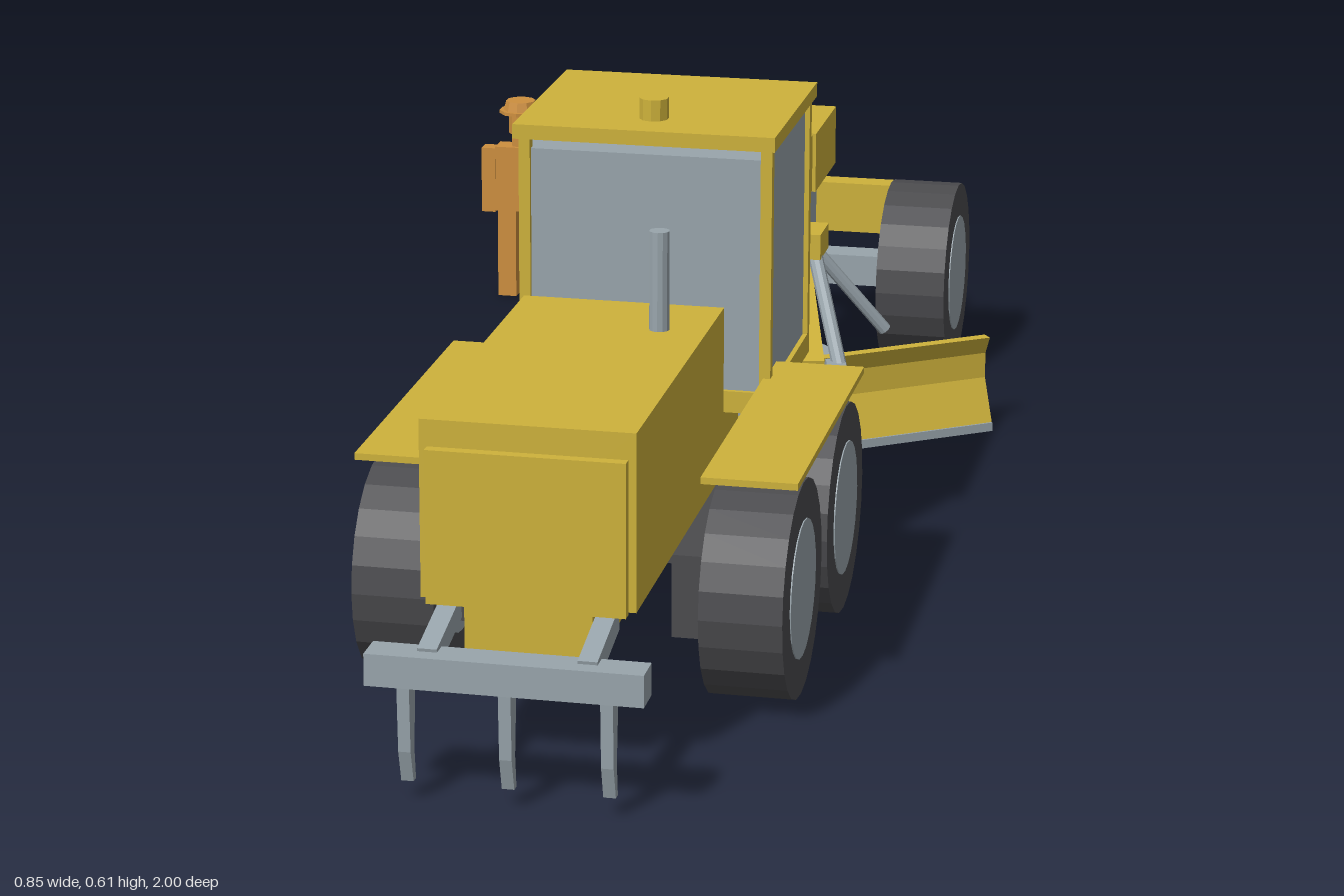
import * as THREE from 'three';

const mat = (name, color) => {
  const m = new THREE.MeshStandardMaterial({ color });
  m.name = name;
  return m;
};

export function createModel() {
  const yellow = mat('yellow paint', 0xceb23b);
  const steel = mat('grey steel', 0x99a5ac);
  const rubber = mat('dark rubber', 0x4b4b4e);
  const orange = mat('orange workwear', 0xcd8f3f);
  for (const m of [yellow, steel, rubber, orange]) m.flatShading = true;

  const CX = 0.083; // centre line of the machine
  const model = new THREE.Group();
  model.name = 'roadGrader';

  const add = (name, geo, material, parent = model) => {
    const mesh = new THREE.Mesh(geo, material);
    mesh.name = name;
    parent.add(mesh);
    return mesh;
  };
  // box from its limits
  const box = (name, m, x0, x1, y0, y1, z0, z1, parent = model) => {
    const b = add(name, new THREE.BoxGeometry(x1 - x0, y1 - y0, z1 - z0), m, parent);
    b.position.set((x0 + x1) / 2, (y0 + y1) / 2, (z0 + z1) / 2);
    return b;
  };
  // box centred on x
  const cbox = (name, m, x, w, y0, y1, z0, z1, parent) =>
    box(name, m, x - w / 2, x + w / 2, y0, y1, z0, z1, parent);
  const cyl = (name, m, r, x, y0, y1, z, sides = 16, parent = model) => {
    const c = add(name, new THREE.CylinderGeometry(r, r, y1 - y0, sides), m, parent);
    c.position.set(x, (y0 + y1) / 2, z);
    return c;
  };
  // beam or rod between two points
  const link = (name, m, a, b, w, h) => {
    const A = new THREE.Vector3(...a), B = new THREE.Vector3(...b);
    const len = A.distanceTo(B);
    const geo = h ? new THREE.BoxGeometry(w, h, len)
      : new THREE.CylinderGeometry(w, w, len, 10).rotateX(Math.PI / 2);
    const l = add(name, geo, m);
    l.position.copy(A).add(B).multiplyScalar(0.5);
    l.lookAt(B);
    return l;
  };
  // side profile of [z, y] points swept across x
  const sideExtrude = (pts, width) => {
    const shape = new THREE.Shape(pts.map(([z, y]) => new THREE.Vector2(-z, y)));
    return new THREE.ExtrudeGeometry(shape, { depth: width, bevelEnabled: false })
      .translate(0, 0, -width / 2).rotateY(Math.PI / 2);
  };

  // wheels
  const wheel = (name, x, z) => {
    const g = new THREE.Group();
    g.name = name;
    add('tyre', new THREE.CylinderGeometry(0.129, 0.129, 0.097, 24).rotateZ(Math.PI / 2), rubber, g);
    add('hub', new THREE.CylinderGeometry(0.082, 0.082, 0.1, 24).rotateZ(Math.PI / 2), steel, g);
    g.position.set(x, 0.13, z);
    model.add(g);
  };
  for (const s of [-1, 1]) {
    wheel('rearWheel', CX + s * 0.203, 0.575);
    wheel('middleWheel', CX + s * 0.203, 0.281);
    wheel('frontWheel', CX + s * 0.187, -0.776);
    cbox('tandemCase', rubber, CX + s * 0.133, 0.042, 0.085, 0.185, 0.21, 0.645);
    cbox('fender', yellow, CX + s * 0.203, 0.112, 0.276, 0.284, 0.198, 0.655);
  }
  cbox('rearAxle', rubber, CX, 0.25, 0.105, 0.165, 0.4, 0.455);
  cbox('frontAxle', steel, CX, 0.29, 0.108, 0.152, -0.8, -0.755);
  cbox('frontAxlePost', steel, CX, 0.05, 0.13, 0.27, -0.802, -0.753);
  cbox('frontPlate', yellow, CX, 0.292, 0.153, 0.226, -0.913, -0.878);

  // rear body
  cbox('chassis', yellow, CX, 0.145, 0.135, 0.21, 0.04, 0.879);
  cbox('engineHood', yellow, CX, 0.243, 0.2, 0.406, 0.39, 0.88);
  cbox('radiatorPanel', yellow, CX, 0.225, 0.197, 0.375, 0.878, 0.893);
  cyl('exhaust', steel, 0.012, 0.148, 0.4, 0.525, 0.493, 12);
  cyl('articulationJoint', steel, 0.051, CX, 0.147, 0.238, 0.025);

  // cab
  cbox('cabFloor', yellow, CX, 0.312, 0.238, 0.265, 0, 0.272);
  cbox('cabGlass', steel, CX, 0.3, 0.265, 0.555, 0.006, 0.266);
  for (const s of [-1, 1]) for (const z of [0, 0.258])
    cbox('cabPost', yellow, CX + s * 0.149, 0.014, 0.25, 0.575, z, z + 0.014);
  cbox('cabRoof', yellow, CX, 0.322, 0.57, 0.588, -0.008, 0.283);
  cyl('beacon', yellow, 0.018, CX, 0.585, 0.614, 0.217, 10);

  // front frame
  add('boom', sideExtrude([[-0.022, 0.28], [-0.022, 0.195], [-0.7, 0.262], [-0.7, 0.344]], 0.074), yellow)
    .position.x = CX;
  cbox('boomNose', yellow, CX, 0.084, 0.26, 0.345, -0.862, -0.695);
  cbox('liftSaddle', yellow, CX, 0.208, 0.25, 0.285, -0.445, -0.38);
  for (const s of [-1, 1]) {
    link('drawbarArm', yellow, [CX + s * 0.012, 0.208, -0.69], [CX + s * 0.12, 0.138, -0.235], 0.032, 0.03);
    link('liftCylinder', steel, [CX + s * 0.09, 0.262, -0.405], [CX + s * 0.145, 0.12, -0.31], 0.01);
  }
  link('drawbarCrossbar', yellow, [CX - 0.12, 0.135, -0.25], [CX + 0.12, 0.135, -0.25], 0.024, 0.022);
  link('sideShiftCylinder', steel, [CX + 0.08, 0.262, -0.425], [0.263, 0.13, -0.472], 0.009);

  // turning circle with rectangular section
  const ring = new THREE.Shape().absarc(0, 0, 0.157, 0, Math.PI * 2);
  ring.holes.push(new THREE.Path().absarc(0, 0, 0.131, 0, Math.PI * 2, true));
  add('turningCircle', new THREE.ExtrudeGeometry(ring, { depth: 0.024, bevelEnabled: false, curveSegments: 28 })
    .rotateX(-Math.PI / 2), steel).position.set(CX, 0.105, -0.275);

  // angled blade
  const blade = new THREE.Group();
  blade.name = 'blade';
  add('mouldboard', sideExtrude([
    [0.008, 0.13], [-0.004, 0.105], [-0.004, 0.07], [0.02, 0.01],
    [0.004, 0.01], [-0.02, 0.068], [-0.02, 0.107], [-0.008, 0.13]], 0.776), yellow, blade);
  cbox('cuttingEdge', steel, 0, 0.776, 0, 0.012, 0.006, 0.022, blade);
  for (const s of [-1, 1])
    cbox('bladeBracket', yellow, s * 0.1, 0.03, 0.075, 0.11, -0.035, -0.005, blade);
  blade.position.set(0.088, 0, -0.247);
  blade.rotation.y = 0.615;
  model.add(blade);

  // ripper
  cbox('ripperBar', steel, CX, 0.31, 0.137, 0.174, 0.957, 0.997);
  for (const s of [-1, 1])
    link('ripperArm', steel, [CX + s * 0.089, 0.188, 0.87], [CX + s * 0.089, 0.165, 0.975], 0.022, 0.026);
  for (const s of [-1, 0, 1])
    add('ripperShank', sideExtrude([
      [0.992, 0.14], [0.964, 0.14], [0.972, 0.06], [0.967, 0.022], [0.977, 0.022], [0.988, 0.06]], 0.014), steel)
      .position.x = CX + s * 0.113;

  // worker beside the machine
  const worker = new THREE.Group();
  worker.name = 'worker';
  for (const s of [-1, 1]) {
    cbox('leg', orange, s * 0.0195, 0.028, 0, 0.135, -0.014, 0.014, worker);
    cbox('boot', orange, s * 0.0195, 0.028, 0, 0.01, -0.031, 0.014, worker);
    cbox('arm', orange, s * 0.048, 0.021, 0.13, 0.229, -0.012, 0.012, worker);
  }
  cbox('torso', orange, 0, 0.072, 0.134, 0.233, -0.017, 0.017, worker);
  cbox('neck', orange, 0, 0.022, 0.23, 0.255, -0.011, 0.011, worker);
  cyl('head', orange, 0.018, 0, 0.253, 0.287, 0, 10, worker);
  cyl('helmetBrim', orange, 0.032, 0, 0.284, 0.289, 0, 10, worker);
  add('helmet', new THREE.CylinderGeometry(0.022, 0.026, 0.015, 10), orange, worker).position.y = 0.2955;
  worker.position.set(-0.372, 0, -0.968);
  model.add(worker);

  return model;
}
